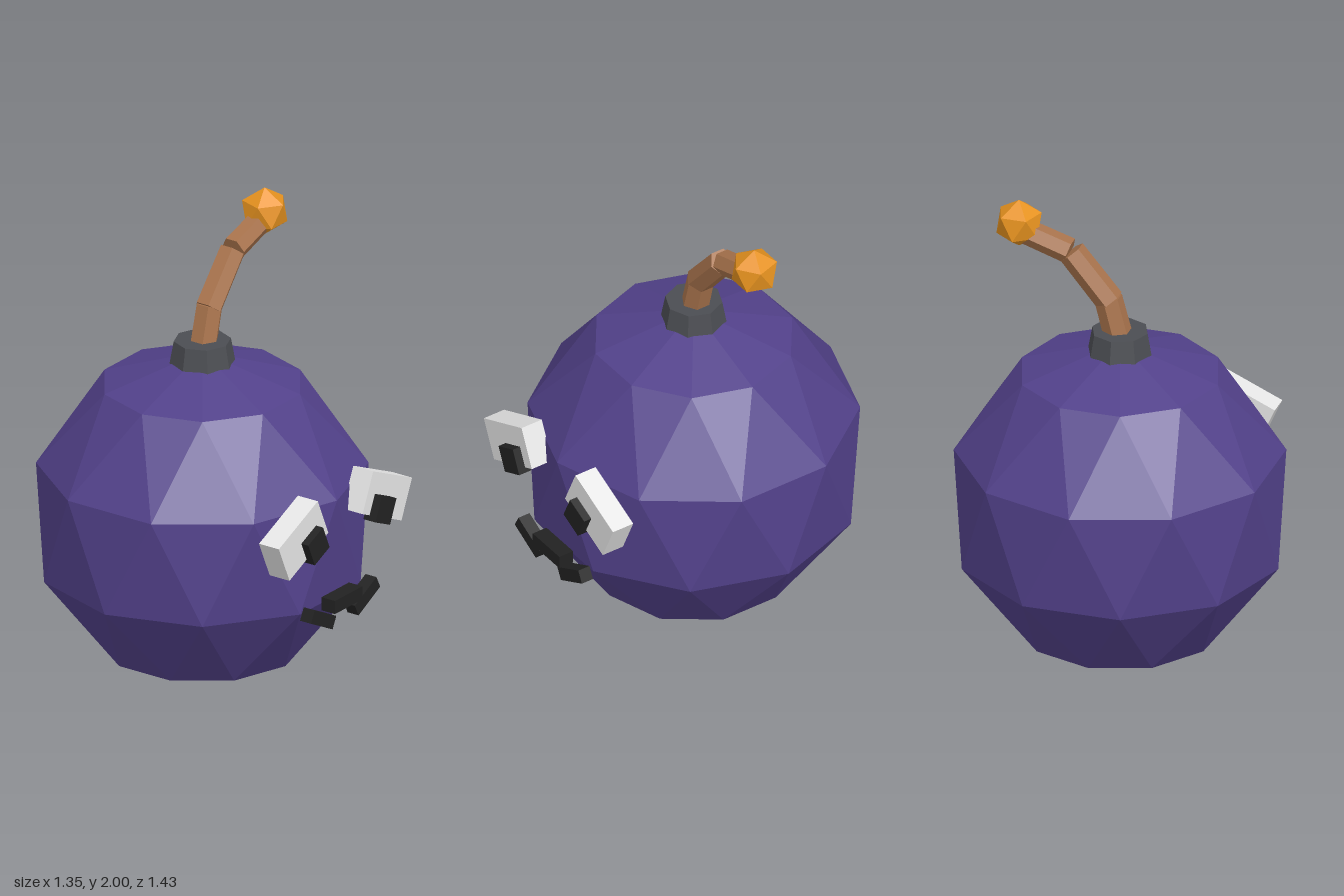
import * as THREE from 'three';

const mat = (name, color, extra = {}) => {
  const m = new THREE.MeshStandardMaterial({ color, flatShading: true, ...extra });
  m.name = name;
  return m;
};

// Faceted ball: rings of ten points, each ring turned half a step from the last
function facetedBall(radius, sides, elevations) {
  const pos = [], index = [];
  pos.push(0, radius, 0);
  elevations.forEach((deg, k) => {
    const e = THREE.MathUtils.degToRad(deg);
    for (let i = 0; i < sides; i++) {
      const a = ((i + (k + 1) / 2) / sides) * Math.PI * 2;
      pos.push(radius * Math.cos(e) * Math.sin(a), radius * Math.sin(e), radius * Math.cos(e) * Math.cos(a));
    }
  });
  pos.push(0, -radius, 0);
  const rings = elevations.length, last = 1 + rings * sides;
  const at = (k, i) => 1 + k * sides + (i % sides);
  for (let i = 0; i < sides; i++) {
    index.push(0, at(0, i), at(0, i + 1));
    for (let k = 0; k < rings - 1; k++) {
      index.push(at(k, i), at(k + 1, i), at(k, i + 1));
      index.push(at(k + 1, i), at(k + 1, i + 1), at(k, i + 1));
    }
    index.push(at(rings - 1, i), last, at(rings - 1, i + 1));
  }
  const g = new THREE.BufferGeometry();
  g.setAttribute('position', new THREE.Float32BufferAttribute(pos, 3));
  g.setIndex(index);
  g.computeVertexNormals();
  return g;
}

export function createModel() {
  const purple = mat('purple shell', 0x52418a);
  const iron = mat('dark grey collar', 0x4b4d52);
  const brown = mat('brown fuse', 0xa8734c);
  const orange = mat('orange spark', 0xe6921f);
  const white = mat('white eye', 0xe6e6e6);
  const black = mat('black', 0x222222);

  const model = new THREE.Group();
  const cz = -0.035;
  const add = (name, geometry, material, x, y, z, rz = 0) => {
    const mesh = new THREE.Mesh(geometry, material);
    mesh.name = name;
    mesh.position.set(x, y, z);
    mesh.rotation.z = rz;
    model.add(mesh);
    return mesh;
  };

  // Round body and collar
  add('body', facetedBall(0.712, 10, [54, 18, -18, -54]), purple, 0, 0.712, cz);
  add('collar', new THREE.CylinderGeometry(0.118, 0.136, 0.1, 8), iron, 0, 1.425, cz);

  // Bent fuse in three straight six-sided pieces
  const joints = [
    [0, 1.42, 0.05, 1.612, 0.06],
    [0.042, 1.6, 0.207, 1.798, 0.059],
    [0.215, 1.802, 0.41, 1.865, 0.054],
  ];
  joints.forEach(([x0, y0, x1, y1, r], i) => {
    const length = Math.hypot(x1 - x0, y1 - y0);
    add(`fuseSegment${i + 1}`, new THREE.CylinderGeometry(r * 0.97, r, length, 6), brown,
      (x0 + x1) / 2, (y0 + y1) / 2, cz, -Math.atan2(x1 - x0, y1 - y0));
  });

  // Spark: icosahedron standing on a corner
  const spark = new THREE.IcosahedronGeometry(0.103, 0);
  spark.rotateZ(Math.atan(2 / (1 + Math.sqrt(5))));
  spark.rotateY(Math.PI / 2);
  add('spark', spark, orange, 0.432, 1.897, cz);

  // Slanted eyes, pupils and mouth corners, mirrored
  for (const [side, s] of [['left', 1], ['right', -1]]) {
    const slant = -s * 0.42;
    add(`${side}Eye`, new THREE.BoxGeometry(0.295, 0.18, 0.1), white, s * 0.29, 0.864, 0.635, slant);
    add(`${side}Pupil`, new THREE.BoxGeometry(0.112, 0.112, 0.06), black, s * 0.232, 0.829, 0.69, slant);
    add(`${side}MouthCorner`, new THREE.BoxGeometry(0.168, 0.057, 0.055), black, s * 0.152, 0.468, 0.658, s * 0.47);
  }
  add('mouthMiddle', new THREE.BoxGeometry(0.19, 0.058, 0.068), black, 0.003, 0.505, 0.665);

  return model;
}
